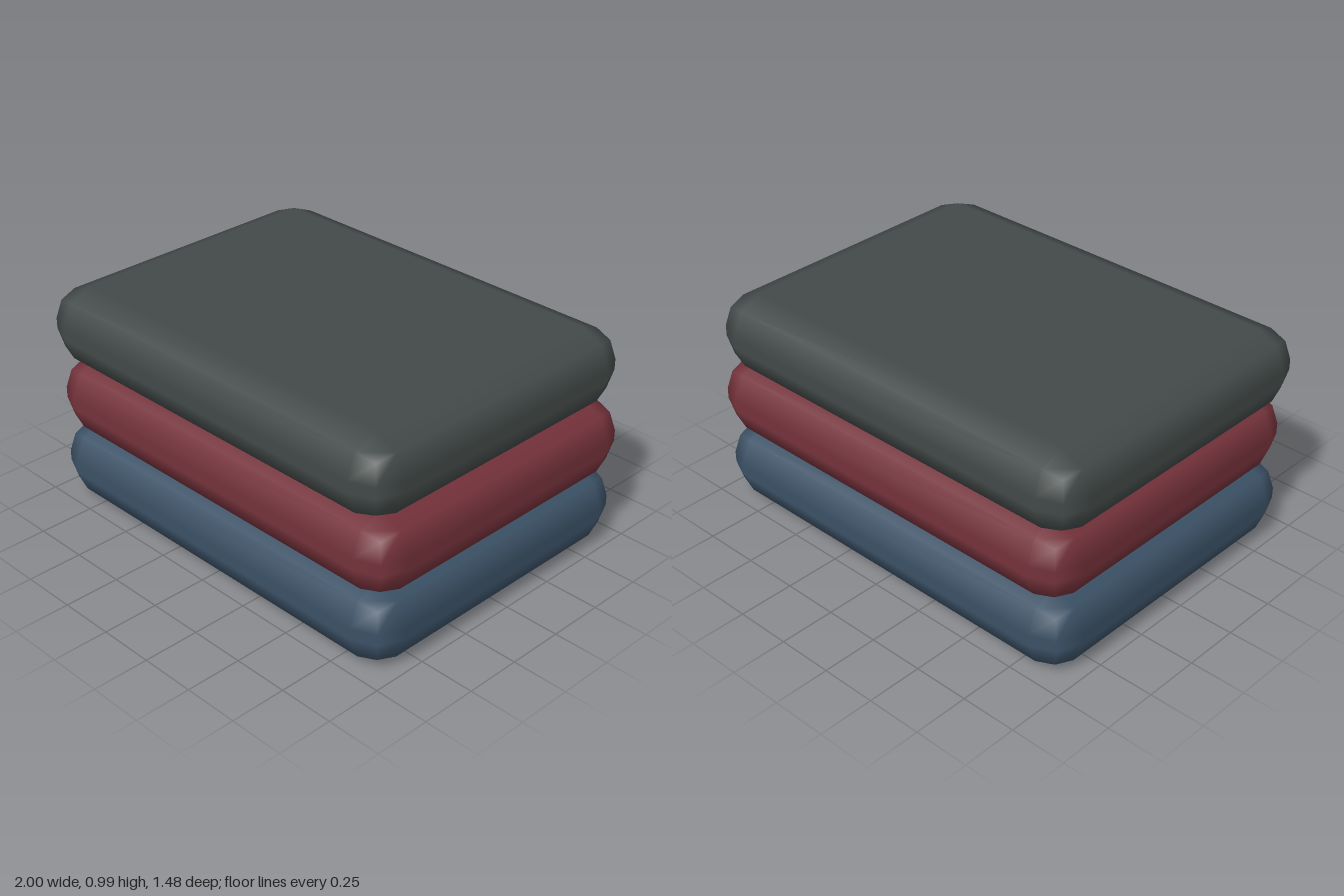
import * as THREE from 'three';
import { RoundedBoxGeometry } from 'three/addons/geometries/RoundedBoxGeometry.js';

const WIDTH = 1.97, HEIGHT = 0.345, DEPTH = 1.475, RADIUS = 0.148;
const PITCH = 0.322; // less than the height, so the soft layers sink into each other

// Bottom to top, each layer slightly shifted sideways
const LAYERS = [
  { name: 'bottomCushion', color: 0x3c5267, colorName: 'slate blue', x: 0.004 },
  { name: 'middleCushion', color: 0x75323b, colorName: 'burgundy', x: 0.015 },
  { name: 'topCushion', color: 0x434a49, colorName: 'charcoal', x: -0.015 },
];

export function createModel() {
  const model = new THREE.Group();
  model.name = 'foldedStack';

  // One rounded slab shape shared by all layers
  const slab = new RoundedBoxGeometry(WIDTH, HEIGHT, DEPTH, 1, RADIUS);

  LAYERS.forEach(({ name, color, colorName, x }, i) => {
    const material = new THREE.MeshStandardMaterial({ color });
    material.name = colorName;
    const cushion = new THREE.Mesh(slab, material);
    cushion.name = name;
    cushion.position.set(x, HEIGHT / 2 + i * PITCH, 0);
    model.add(cushion);
  });

  return model;
}
